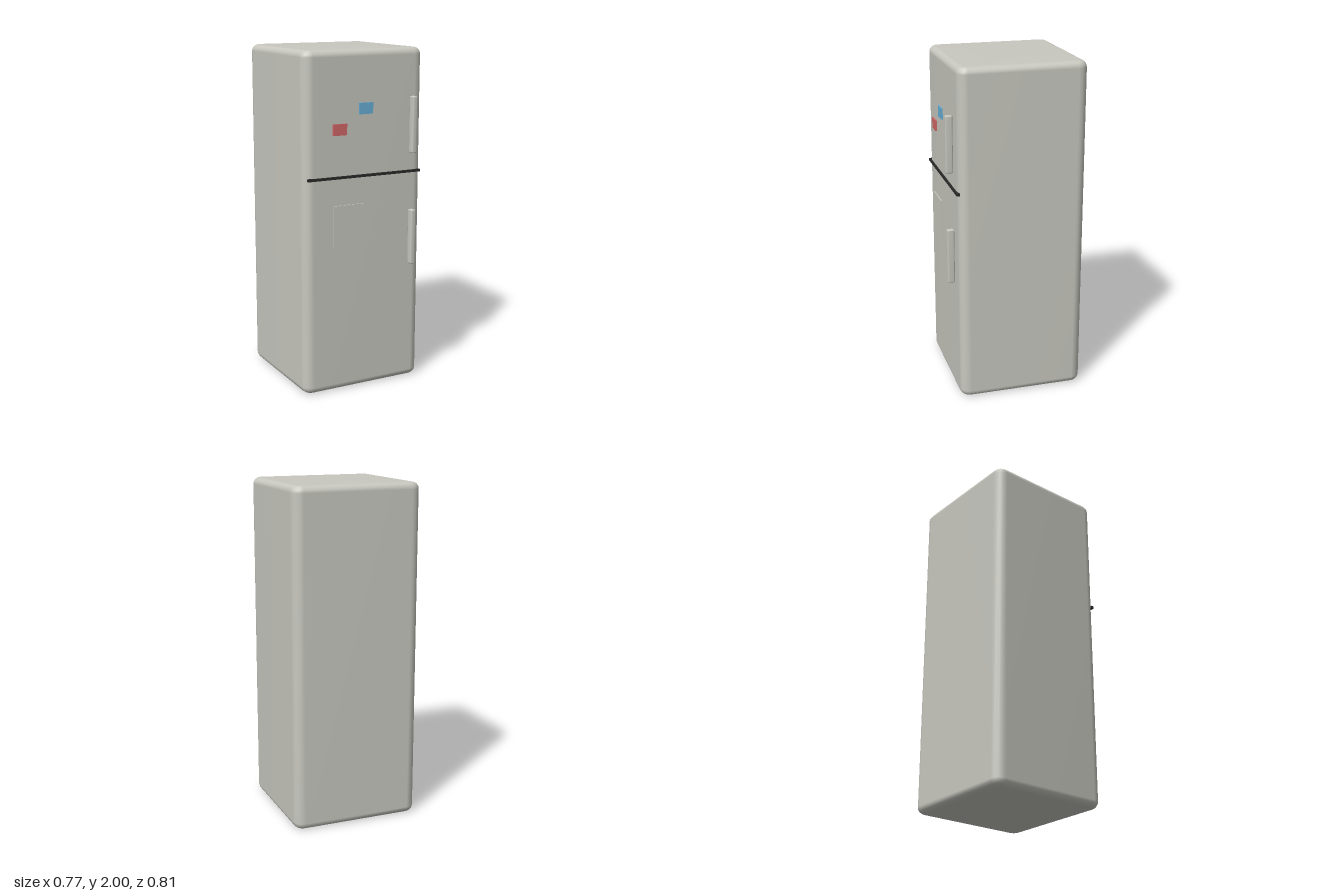
import * as THREE from 'three';

const mat = (name, color) => {
  const m = new THREE.MeshStandardMaterial({ color });
  m.name = name;
  return m;
};

// Smooth block lofted from rounded-rectangle rings, closed by a centre fan at each end.
function softBlock(w, h, d, corner, bevel, steps) {
  const pos = [], index = [], rings = [];
  for (let i = 0; i <= steps; i++) {
    const a = (i / steps) * Math.PI / 2;
    rings.push([bevel * (1 - Math.sin(a)), -h / 2 + bevel * (1 - Math.cos(a))]);
  }
  for (let i = steps; i >= 0; i--) rings.push([rings[i][0], -rings[i][1]]);

  const n = 4 * (steps + 1);
  for (const [inset, y] of rings) {
    const r = corner - inset;
    for (let q = 0; q < 4; q++) {
      const sx = q === 0 || q === 3 ? 1 : -1, sz = q < 2 ? 1 : -1;
      for (let i = 0; i <= steps; i++) {
        const a = (q + i / steps) * Math.PI / 2;
        pos.push(sx * (w / 2 - corner) + r * Math.cos(a), y, sz * (d / 2 - corner) + r * Math.sin(a));
      }
    }
  }
  const last = rings.length - 1, bottom = rings.length * n, top = bottom + 1;
  pos.push(0, -h / 2, 0, 0, h / 2, 0);
  for (let j = 0; j < n; j++) {
    const k = (j + 1) % n;
    for (let i = 0; i < last; i++) {
      const a = i * n + j, b = i * n + k;
      index.push(a, a + n, b, b, a + n, b + n);
    }
    index.push(bottom, j, k, top, last * n + k, last * n + j);
  }
  const g = new THREE.BufferGeometry();
  g.setAttribute('position', new THREE.Float32BufferAttribute(pos, 3));
  g.setIndex(index);
  g.computeVertexNormals();
  return g;
}

export function createModel() {
  const group = new THREE.Group();
  const enamel = mat('warm grey enamel', 0xc8c8c0);
  const dark = mat('dark seal', 0x2a2a2a);
  const red = mat('red magnet', 0xd46868);
  const blue = mat('blue magnet', 0x68b0d8);

  const add = (name, geometry, material, x, y, z) => {
    const mesh = new THREE.Mesh(geometry, material);
    mesh.name = name;
    mesh.position.set(x, y, z);
    group.add(mesh);
  };
  // Thin plate on the door front, given by its x and y limits
  const plate = (name, material, x0, x1, y0, y1, z0, z1) =>
    add(name, new THREE.BoxGeometry(x1 - x0, y1 - y0, z1 - z0), material,
      (x0 + x1) / 2, (y0 + y1) / 2, (z0 + z1) / 2);

  // Cabinet
  add('cabinet', softBlock(0.774, 2, 0.753, 0.06, 0.04, 4), enamel, 0, 1, -0.0285);

  // Gap between freezer and fridge doors
  plate('doorSeam', dark, -0.367, 0.367, 1.275, 1.29, 0.34, 0.358);

  // Door handles
  for (const [name, y] of [['freezerHandle', 1.56], ['fridgeHandle', 0.893]])
    add(name, softBlock(0.032, 0.33, 0.043, 0.008, 0.007, 2), enamel, 0.299, y, 0.3835);

  // Magnets and note
  plate('redMagnet', red, -0.212, -0.125, 1.525, 1.59, 0.356, 0.365);
  plate('blueMagnet', blue, -0.046, 0.042, 1.637, 1.702, 0.356, 0.365);
  plate('note', enamel, -0.212, -0.014, 0.885, 1.123, 0.358, 0.365);

  return group;
}
